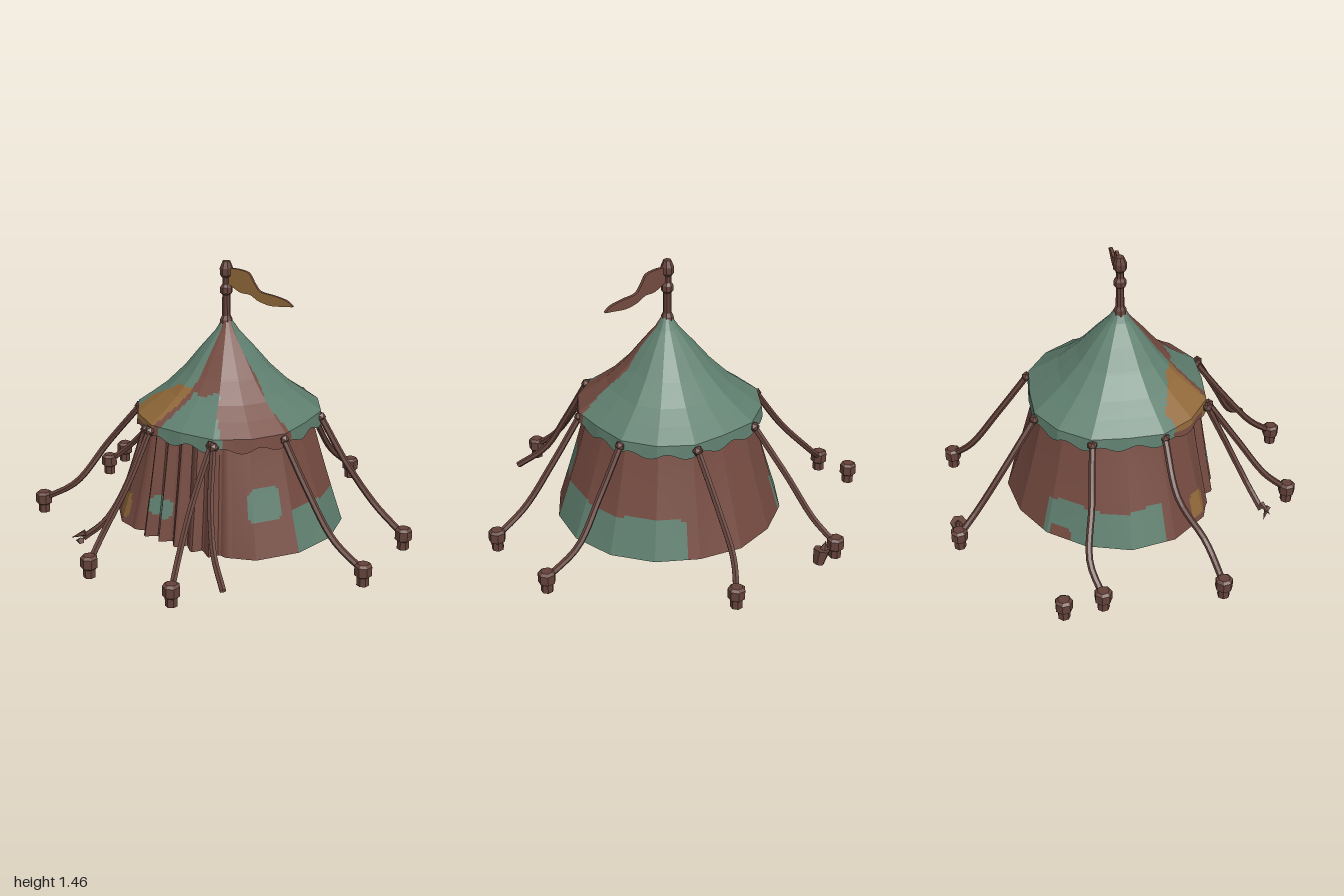
import * as THREE from 'three';

const mat = (name, color) => new THREE.MeshStandardMaterial({ name, color, flatShading: true, side: THREE.DoubleSide });
const V = (x, y, z) => new THREE.Vector3(x, y, z);
const CX = 0.02, CZ = -0.02, SIDES = 16;

// Distance-weighted lookup in a small table of [key, value] pairs
function lookup(table, k) {
  for (let i = 1; i < table.length; i++) {
    const [a, va] = table[i - 1], [b, vb] = table[i];
    if (k <= b) return va + (vb - va) * Math.max(0, (k - a) / (b - a));
  }
  return table[table.length - 1][1];
}

// Point on a 16-sided ring; deg 0 = +x, 90 = front, radii listed per corner
function ringPoint(radii, deg, y) {
  const f = (((deg % 360) + 360) % 360) / (360 / SIDES), i = Math.floor(f) % SIDES, t = f - Math.floor(f);
  const corner = (n) => {
    const a = n * Math.PI * 2 / SIDES, r = radii[n % SIDES];
    return V(CX + Math.cos(a) * r, y, CZ + Math.sin(a) * r);
  };
  return corner(i).lerp(corner(i + 1), t);
}

// Closed cloth surface around the axis, each cell painted by colourAt(deg, v)
function cloth(name, cols, rows, pointAt, colourAt, materials) {
  const pos = [], index = materials.map(() => []);
  for (let j = 0; j <= rows; j++)
    for (let i = 0; i <= cols; i++) pos.push(...pointAt(i * 360 / cols, j / rows).toArray());
  for (let j = 0; j < rows; j++)
    for (let i = 0; i < cols; i++) {
      const a = j * (cols + 1) + i, b = a + cols + 1;
      index[colourAt((i + 0.5) * 360 / cols, (j + 0.5) / rows)].push(a, b, b + 1, a, b + 1, a + 1);
    }
  const g = new THREE.BufferGeometry();
  g.setAttribute('position', new THREE.Float32BufferAttribute(pos, 3));
  g.setIndex(index.flat());
  let start = 0;
  index.forEach((list, m) => { g.addGroup(start, list.length, m); start += list.length; });
  g.computeVertexNormals();
  const mesh = new THREE.Mesh(g, materials);
  mesh.name = name;
  return mesh;
}

// Rounded patch test
const inPatch = (d, y, d0, dr, y0, yr) => ((d - d0) / dr) ** 4 + ((y - y0) / yr) ** 4 < 1;

export function createModel() {
  const brown = mat('brownCloth', 0x754b41), green = mat('greenCloth', 0x5f7f6f);
  const ochre = mat('ochreCloth', 0x92693a), wood = mat('darkWood', 0x64423a);
  const paints = [brown, green, ochre];
  const model = new THREE.Group();
  model.name = 'tent';
  const add = (name, geo, material, parent = model) => {
    const m = new THREE.Mesh(geo, material);
    m.name = name;
    parent.add(m);
    return m;
  };

  // Walls: flared skirt, pleated at the front entrance
  const top = Array.from({ length: SIDES }, (_, i) => (i % 4 ? 0.435 : 0.415));
  const base = [0.615, 0.61, 0.6, 0.545, 0.5, 0.52, 0.585, 0.615, 0.62, 0.605, 0.6, 0.595, 0.6, 0.59, 0.6, 0.61];
  const wallPoint = (d, v) => {
    const y = 0.07 + v * 0.6, t = (1 - v) ** 1.12;
    const p = ringPoint(top.map((r, i) => r + (base[i] - r) * t), d, y);
    if (d > 58 && d < 126) {
      const wave = Math.abs((((d - 58) / 11) % 1) * 2 - 1) - 0.6;
      const fold = wave * 0.055 * Math.min(1, (d - 58) / 8, (126 - d) / 8) * (1 - 0.4 * v);
      const a = d * Math.PI / 180;
      p.x += Math.cos(a) * fold;
      p.z += Math.sin(a) * fold;
    }
    return p;
  };
  const wallColour = (d, v) => {
    const y = 0.07 + v * 0.6, s = d > 180 ? d - 360 : d;
    if (inPatch(d, y, 137, 6, 0.165, 0.07)) return 2;
    if (inPatch(d, y, 105, 7, 0.24, 0.055)) return 1;
    if (inPatch(d, y, 38, 10, 0.33, 0.085)) return 1;
    if (inPatch(d, y, 218, 6, 0.08, 0.05)) return 0;
    if (s > -62 && s < 22 && y < 0.275 + 0.012 * Math.sin(s / 9)) return 1;
    if (d > 162 && d < 228 && y < 0.265 + 0.015 * Math.sin(d / 8)) return 1;
    return 0;
  };
  model.add(cloth('walls', 240, 40, wallPoint, wallColour, paints));
  model.add(cloth('floor', 240, 1, (d, v) => {
    const p = wallPoint(d, 0);
    return V(CX + (p.x - CX) * v, p.y, CZ + (p.z - CZ) * v);
  }, () => 0, paints));

  // Roof: concave cone with a scalloped valance hanging below the eave
  const eave = Array.from({ length: SIDES }, (_, i) => (i % 4 ? 0.485 : 0.458));
  const profile = [[0.68, 1], [0.74, 0.83], [0.8, 0.67], [0.9, 0.465], [1, 0.3], [1.1, 0.125], [1.16, 0.05]];
  const roofPoint = (d, v) => {
    const y = 0.68 + v * 0.48, s = lookup(profile, y);
    const p = ringPoint(eave.map((r) => r * s), d, y);
    p.z += 0.02 * v;
    return p;
  };
  const roofColour = (d, v) => {
    const y = 0.68 + v * 0.48, w = 2.5 * Math.sin(y * 26);
    const left = 150 + w, right = lookup([[0.64, 113], [0.72, 109], [0.84, 101]], y);
    if (d > right && d < left && y < 0.85 - Math.max(0, d - 122) * 0.004) return 2;
    if (d > 65 + w && d < right - 5 && y < 0.835 + 0.01 * Math.sin(d / 5)) return 1;
    if (d > 20 + w && d < (y < 0.87 ? right : 100)) return 0;
    return 1;
  };
  model.add(cloth('roof', 192, 40, roofPoint, roofColour, paints));
  model.add(cloth('valance', 192, 4, (d, v) => {
    const hang = 0.062 + 0.014 * Math.sin(d * Math.PI / 180 * 16);
    return ringPoint(eave.map((r) => r * (1.015 - 0.015 * v)), d, 0.68 - hang * (1 - v));
  }, (d, v) => (d > 120 && d < 150 && v < 0.5 ? 0 : roofColour(d, 0)), paints));

  // Centre pole with collars and a knob
  const pole = [[0.04, 1.1], [0.032, 1.16], [0.022, 1.18], [0.021, 1.29], [0.032, 1.3], [0.032, 1.33], [0.021, 1.345],
    [0.021, 1.38], [0.034, 1.395], [0.034, 1.43], [0.02, 1.465], [0, 1.467]];
  add('pole', new THREE.LatheGeometry(pole.map((p) => new THREE.Vector2(...p)), 8), wood).position.set(0.015, 0, 0);

  // Pennant: brown body with an ochre front face
  const flag = new THREE.Shape();
  flag.moveTo(0.03, 1.43);
  flag.splineThru([[0.09, 1.432], [0.15, 1.42], [0.185, 1.37], [0.22, 1.335], [0.3, 1.325], [0.37, 1.31], [0.405, 1.285]]
    .map((p) => new THREE.Vector2(...p)));
  flag.splineThru([[0.36, 1.28], [0.28, 1.272], [0.21, 1.285], [0.16, 1.31], [0.1, 1.315], [0.03, 1.35]]
    .map((p) => new THREE.Vector2(...p)));
  add('flag', new THREE.ExtrudeGeometry(flag, { depth: 0.014, bevelEnabled: false, curveSegments: 14 }), brown).position.z = -0.008;
  add('flagFront', new THREE.ShapeGeometry(flag, 14), ochre).position.z = 0.008;

  // Guy ropes: plan points from the eave to the ground
  const stakeProfile = [[0, 0.005], [0.032, 0.005], [0.032, 0.05], [0.045, 0.06], [0.045, 0.11], [0.03, 0.122], [0, 0.122]]
    .map((p) => new THREE.Vector2(...p));
  const stake = (x, z) => add('stake', new THREE.LatheGeometry(stakeProfile, 7), wood).position.set(x, 0, z);
  const rope = (name, plan, endY) => {
    const heights = [0.65, 0.41, 0.2, endY];
    const curve = new THREE.CatmullRomCurve3(plan.map(([x, z], i) => V(x, heights[i], z)));
    add(name, new THREE.TubeGeometry(curve, 16, 0.0175, 6), wood);
    add(name + 'Knot', new THREE.IcosahedronGeometry(0.028), wood).position.copy(curve.getPoint(0));
    return curve.getPoint(1);
  };
  const ropes = [
    [[-0.18, -0.47], [-0.26, -0.64], [-0.32, -0.79], [-0.38, -0.9]],
    [[0.2, -0.48], [0.21, -0.65], [0.23, -0.8], [0.3, -0.91]],
    [[0.47, -0.2], [0.62, -0.22], [0.78, -0.25], [0.955, -0.23]],
    [[0.46, 0.17], [0.62, 0.2], [0.78, 0.225], [0.955, 0.235]],
    [[0.2, 0.44], [0.2, 0.61], [0.225, 0.77], [0.27, 0.905]],
    [[-0.17, 0.44], [-0.195, 0.6], [-0.24, 0.75], [-0.24, 0.88]],
    [[-0.42, 0.17], [-0.61, 0.21], [-0.73, 0.34], [-0.915, 0.4]],
    [[-0.43, -0.2], [-0.6, -0.225], [-0.79, -0.26], [-0.92, -0.21]],
  ];
  ropes.forEach((plan) => {
    rope('guyRope', plan, 0.08);
    stake(...plan[3]);
  });
  stake(-0.955, -0.41);

  // Loose ropes with a frayed end
  const ends = [
    rope('looseRope', [[-0.2, 0.43], [-0.23, 0.54], [-0.31, 0.64], [-0.41, 0.7]], 0.1),
    rope('looseRope', [[0.22, 0.45], [0.28, 0.57], [0.36, 0.67], [0.48, 0.775]], 0.08),
  ];
  for (const s of [-1, 1]) {
    const fray = add('frayedEnd', new THREE.ConeGeometry(0.018, 0.08, 5), wood);
    fray.position.copy(ends[0]).add(V(-0.02, -0.015 * s, 0.02));
    fray.rotation.set(s * 0.9, 0, 2.2);
  }

  // Snapped stake leaning at the back
  const broken = new THREE.Group();
  broken.name = 'brokenStake';
  add('brokenStakeBase', new THREE.CylinderGeometry(0.045, 0.03, 0.08, 6), wood, broken).position.y = 0.05;
  add('brokenStakeSplinter', new THREE.ConeGeometry(0.035, 0.07, 5), wood, broken).position.set(-0.015, 0.1, 0);
  broken.position.set(-0.26, 0, -0.9);
  broken.rotation.z = 0.25;
  model.add(broken);

  return model;
}
